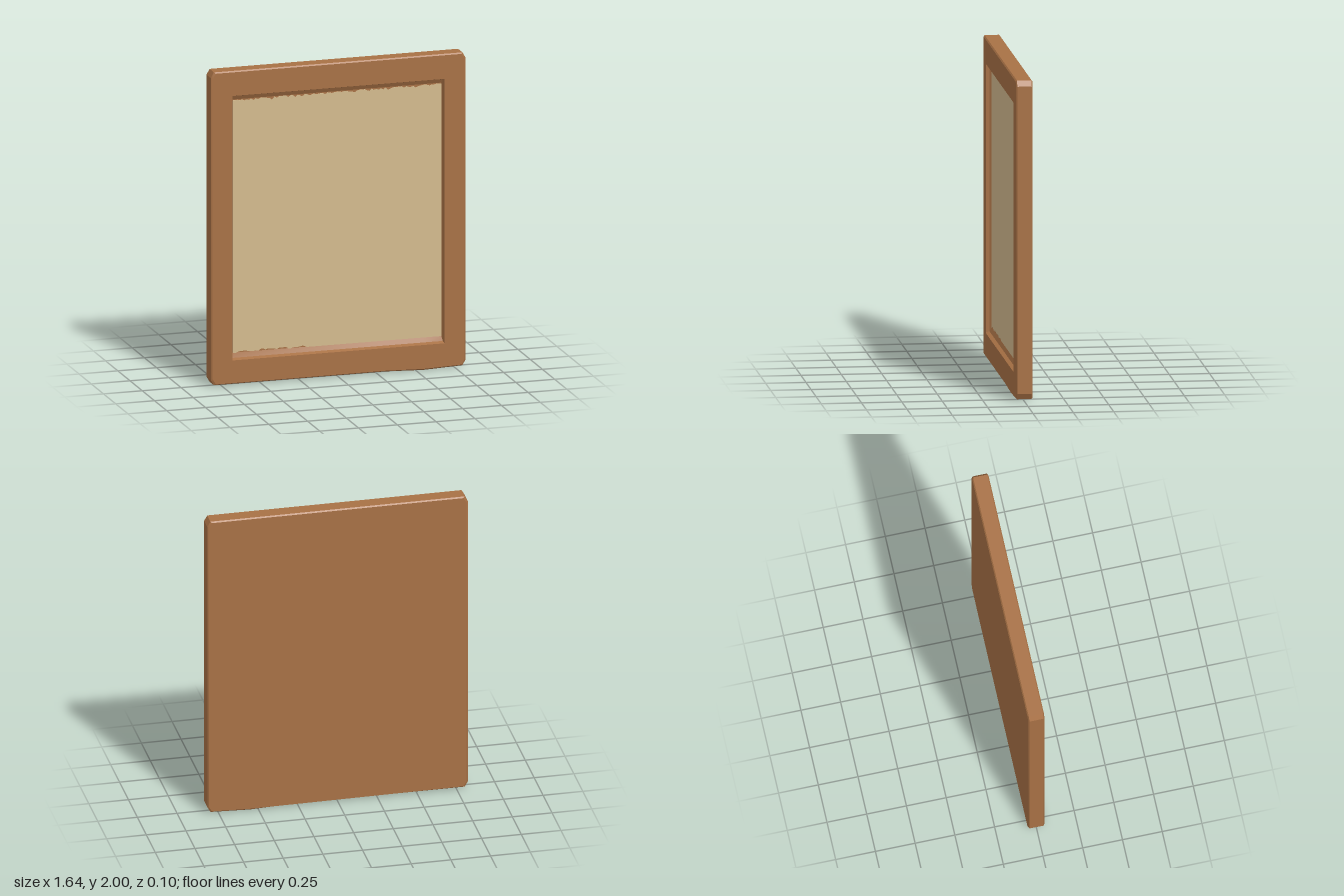
import * as THREE from 'three';
import { toCreasedNormals } from 'three/addons/utils/BufferGeometryUtils.js';

// Rectangle with chamfered corners, counter-clockwise; the bottom edge can sag near x = 0.55
function loop(x0, x1, y0, y1, z, cx = 0.001, cy = cx, sag = 0) {
  return [
    [x0 + cx, y0], [0.3, y0], [0.55, y0 - sag], [x1 - cx, y0],
    [x1, y0 + cy], [x1, y1 - cy], [x1 - cx, y1],
    [x0 + cx, y1], [x0, y1 - cy], [x0, y0 + cy],
  ].map(([x, y]) => [x, y, z]);
}

// Skin consecutive loops and close both ends
function loft(loops) {
  const n = loops[0].length, pos = [], index = [];
  loops.forEach((l) => l.forEach((p) => pos.push(...p)));
  for (let i = 0; i < loops.length - 1; i++) {
    for (let j = 0; j < n; j++) {
      const a = i * n + j, b = i * n + (j + 1) % n;
      index.push(a, b, b + n, a, b + n, a + n);
    }
  }
  const last = (loops.length - 1) * n;
  for (let j = 1; j < n - 1; j++) {
    index.push(0, j + 1, j);
    index.push(last, last + j, last + j + 1);
  }
  const geo = new THREE.BufferGeometry();
  geo.setAttribute('position', new THREE.Float32BufferAttribute(pos, 3));
  geo.setIndex(index);
  return toCreasedNormals(geo, 0.35);
}

function seeded(seed) {
  return () => (seed = (seed * 16807) % 2147483647) / 2147483647;
}

export function createModel() {
  const group = new THREE.Group();
  const add = (name, geometry, color) => {
    const mesh = new THREE.Mesh(geometry, new THREE.MeshStandardMaterial({ color }));
    mesh.name = name;
    group.add(mesh);
  };

  // Wooden frame: closed back, softened rim, recessed front with sloping inner lip
  add('frame', loft([
    loop(-0.812, 0.812, 0.016, 1.992, -0.053, 0.02, 0.035, 0.008),
    loop(-0.822, 0.82, 0.01, 2, -0.046, 0.02, 0.035, 0.01),
    loop(-0.822, 0.82, 0.01, 2, 0.043, 0.02, 0.035, 0.01),
    loop(-0.812, 0.812, 0.016, 1.992, 0.05, 0.02, 0.035, 0.008),
    loop(-0.685, 0.682, 0.16, 1.842, 0.05),
    loop(-0.683, 0.678, 0.17, 1.835, 0.027),
    loop(-0.672, 0.672, 0.2, 1.81, 0.014),
  ]), 0xa87145);

  // Parchment sheet with ragged top and bottom edges
  const rnd = seeded(71);
  const sheet = new THREE.Shape();
  const steps = 90, left = -0.672, right = 0.672;
  sheet.moveTo(left, 0.2);
  for (let i = 1; i < steps; i++) {
    const x = left + (right - left) * i / steps;
    sheet.lineTo(x, x < -0.2 ? 0.197 + 0.016 * rnd() : 0.199);
  }
  sheet.lineTo(right, 0.2);
  sheet.lineTo(right, 1.805);
  for (let i = steps - 1; i > 0; i--) {
    const x = left + (right - left) * i / steps;
    sheet.lineTo(x, 1.808 - 0.02 * rnd() * rnd());
  }
  sheet.lineTo(left, 1.805);
  const sheetGeo = new THREE.ExtrudeGeometry(sheet, { depth: 0.006, bevelEnabled: false });
  sheetGeo.translate(0, 0, 0.012);
  add('parchment', sheetGeo, 0xd3ba8e);

  return group;
}
